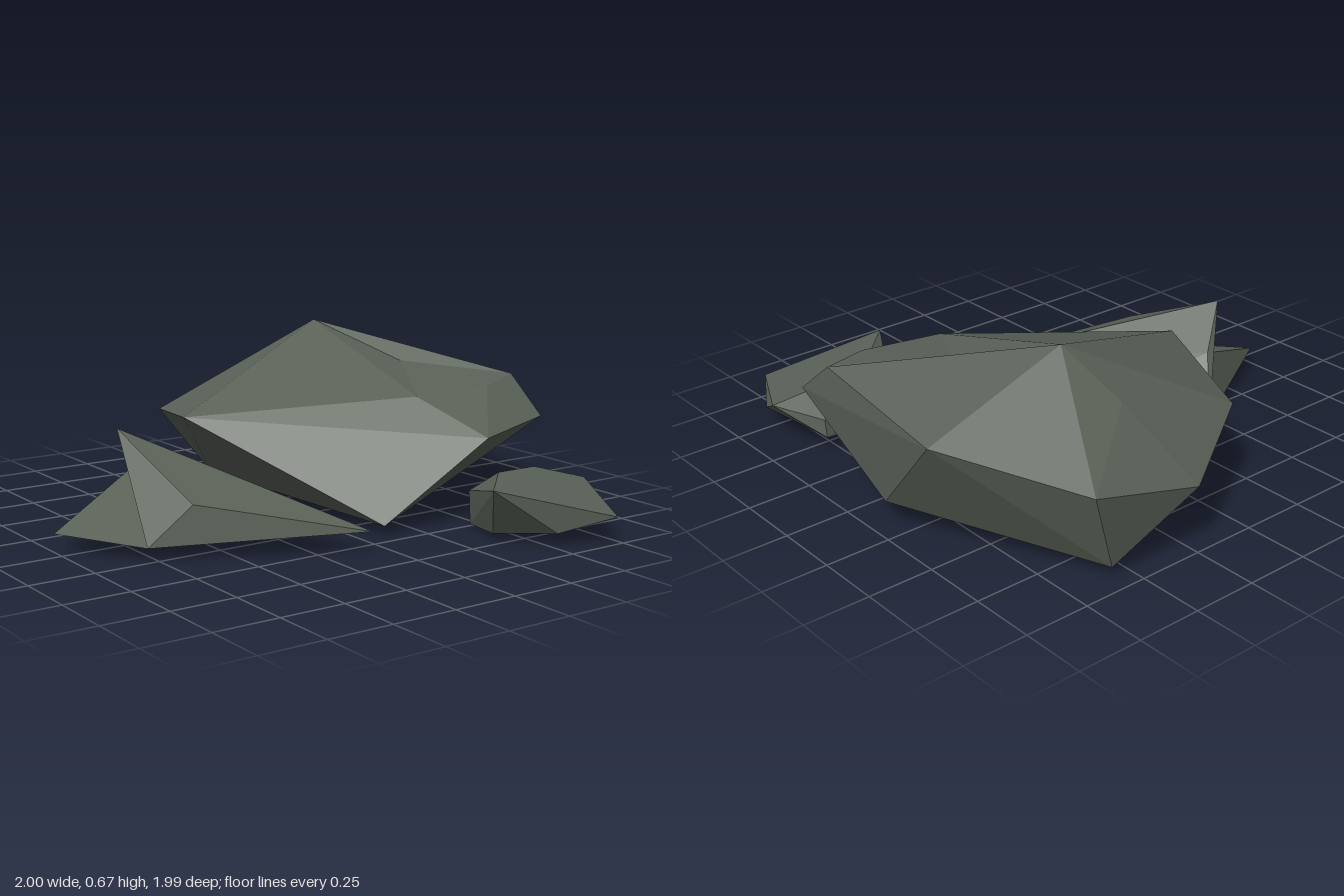
import * as THREE from 'three';
import { ConvexGeometry } from 'three/addons/geometries/ConvexGeometry.js';

const stone = new THREE.MeshStandardMaterial({ color: 0x5a6258, flatShading: true, side: THREE.DoubleSide });
stone.name = 'mossyGreyStone';

// Faceted rock shell spanned by its corner points: open underneath,
// and open along the seam triangle where it joins another shell
function chunk(name, corners, seam = []) {
  const points = corners.map(c => new THREE.Vector3(...c));
  const seamPoints = seam.map(c => new THREE.Vector3(...c));
  const hull = new ConvexGeometry(points).attributes.position;
  const onSeam = p => seamPoints.some(s => s.distanceTo(p) < 1e-3);
  const shell = [], normal = new THREE.Vector3();
  for (let i = 0; i < hull.count; i += 3) {
    const tri = [0, 1, 2].map(k => new THREE.Vector3().fromBufferAttribute(hull, i + k));
    new THREE.Triangle(...tri).getNormal(normal);
    if (normal.y > -0.85 && !tri.every(onSeam)) shell.push(...tri);
  }
  const geo = new THREE.BufferGeometry().setFromPoints(shell);
  geo.computeVertexNormals();
  const mesh = new THREE.Mesh(geo, stone);
  mesh.name = name;
  return mesh;
}

// Push one corner of a chunk down to make a shallow hollow
function dent(mesh, [x, y, z], newY) {
  const pos = mesh.geometry.attributes.position;
  const corner = new THREE.Vector3(x, y, z), v = new THREE.Vector3();
  for (let i = 0; i < pos.count; i++) {
    if (v.fromBufferAttribute(pos, i).distanceTo(corner) < 1e-3) pos.setY(i, newY);
  }
  mesh.geometry.computeVertexNormals();
}

export function createModel() {
  const group = new THREE.Group();
  group.name = 'rocks';

  // Large boulder: crown, shoulder and foot corners
  const hollow = [0.62, 0.578, -0.15];
  const boulder = chunk('largeBoulder', [
    [0.45, 0.67, -0.52], [0.37, 0.51, -0.74], hollow,
    [0.42, 0.455, 0.21], [0.74, 0.468, 0.25], [0.94, 0.49, 0.17],
    [1, 0.455, -0.5], [0.68, 0.35, -0.96], [0.25, 0.255, -0.995],
    [-0.18, 0.325, -0.73], [-0.36, 0.39, -0.23],
    [0.56, 0.32, 0.47], [0.94, 0.345, 0.35],
    [0.1, 0.038, 0.43], [0.03, 0.042, -0.67], [0.57, 0.035, -0.92], [0.95, 0.1, -0.17],
  ]);
  dent(boulder, hollow, 0.53);
  group.add(boulder);

  // Pointed rock: a leaning shard with a low wedge at its side
  const foot = [-0.79, 0.052, 0.24], notch = [-0.55, 0.244, -0.24], heel = [-0.45, 0.03, -0.36];
  const seam = [foot, notch, heel];
  const pointed = new THREE.Group();
  pointed.name = 'pointedRock';
  pointed.add(
    chunk('shard', [
      [-0.69, 0.4, -0.15], [-0.64, 0.2, 0.3], [-0.08, 0.083, 0.595],
      [-0.26, 0.042, 0.01], ...seam,
    ], seam),
    chunk('sideWedge', [[-1, 0.07, -0.06], ...seam], seam),
  );
  group.add(pointed);

  // Small rock in front of the boulder
  group.add(chunk('smallRock', [
    [0.28, 0.225, 0.82], [0.49, 0.225, 0.61], [0.71, 0.21, 0.565],
    [0.91, 0.155, 0.63], [0.87, 0.09, 0.75], [0.73, 0.1, 0.99],
    [0.47, 0.13, 0.47], [0.8, 0.13, 0.44], [0.8, 0.06, 0.43],
    [0.47, 0.002, 0.48], [0.38, 0.03, 0.71], [0.52, 0.05, 0.9],
  ]));

  return group;
}
